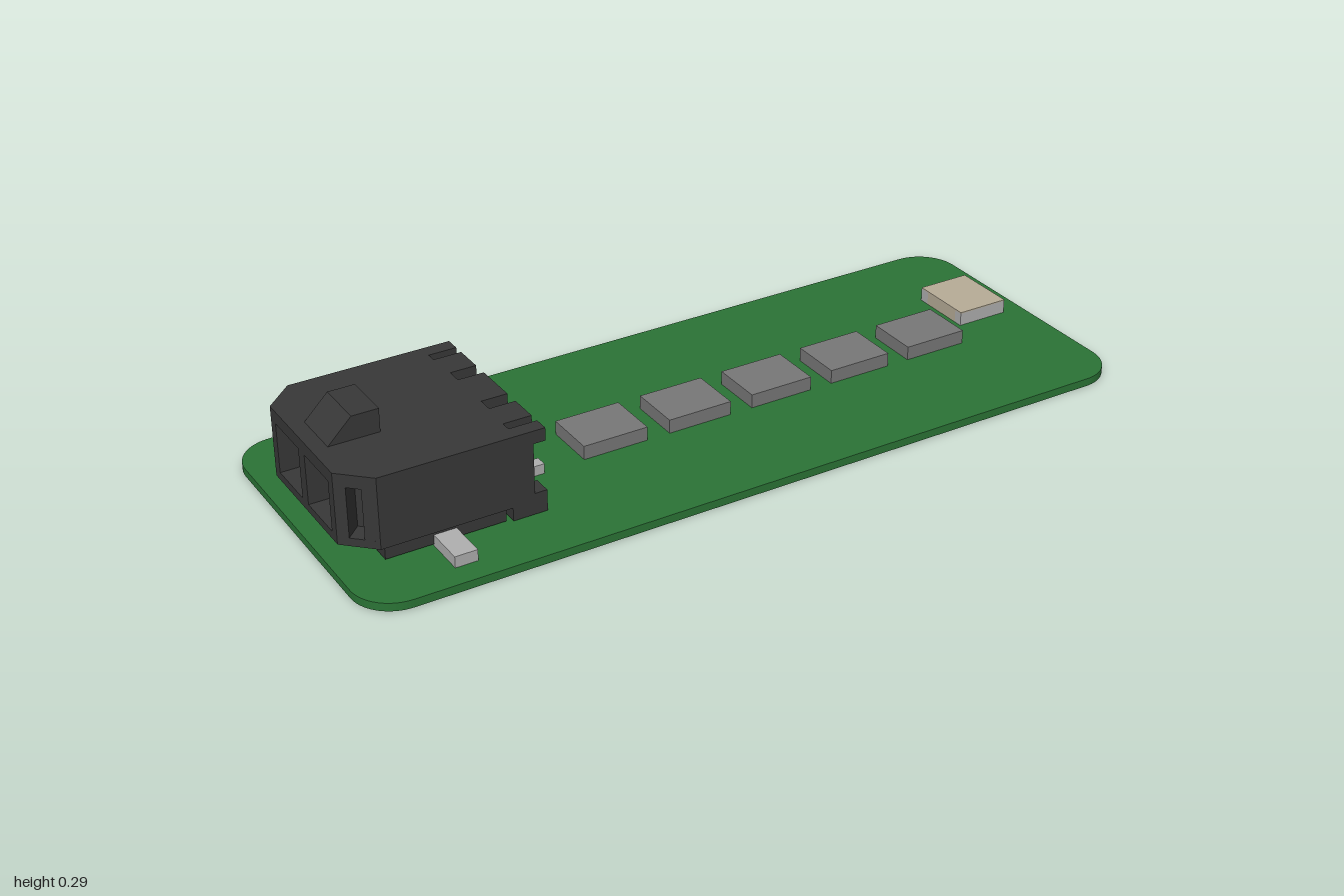
import * as THREE from 'three';

const mat = (color) => new THREE.MeshStandardMaterial({ color, flatShading: true });
const green = mat(0x2b7436), black = mat(0x383838), grey = mat(0x787878);
const metal = mat(0xb0b0b0), beige = mat(0xb8ad98);

function add(parent, name, geometry, material) {
  const mesh = new THREE.Mesh(geometry, material);
  mesh.name = name;
  parent.add(mesh);
  return mesh;
}

// Box from its minimum and maximum corners
function block(parent, name, x0, x1, y0, y1, z0, z1, material) {
  const mesh = add(parent, name, new THREE.BoxGeometry(x1 - x0, y1 - y0, Math.abs(z1 - z0)), material);
  mesh.position.set((x0 + x1) / 2, (y0 + y1) / 2, (z0 + z1) / 2);
  return mesh;
}

const shapeOf = (points) => new THREE.Shape(points.map(([x, y]) => new THREE.Vector2(x, y)));
const extrude = (shape, depth) =>
  new THREE.ExtrudeGeometry(shape, { depth, bevelEnabled: false, curveSegments: 10 });

// Plan shape raised from y0 to y1
const slab = (shape, y0, y1) => extrude(shape, y1 - y0).rotateX(-Math.PI / 2).translate(0, y0, 0);

// Side profile (x, y) extruded across z
const across = (points, z0, z1) => extrude(shapeOf(points), z1 - z0).translate(0, 0, z0);

// Plan outline mirrored about z = 0 from one half
const mirrored = (half) => shapeOf([...half, ...half.map(([x, z]) => [x, -z]).reverse()]);

// Toothed rear edge of the housing, reaching out to x = end
const teeth = (end) => [
  [-0.9, 0.232], [end, 0.232], [end, 0.195], [-0.57, 0.195], [-0.57, 0.17],
  [end, 0.17], [end, 0.095], [-0.565, 0.095], [-0.565, 0.057], [end, 0.057],
];

function makeBoard() {
  const s = new THREE.Shape(), w = 1, d = 0.385, r = 0.1;
  s.moveTo(-w + r, -d);
  s.lineTo(w - r, -d);
  s.absarc(w - r, -d + r, r, -Math.PI / 2, 0);
  s.absarc(w - r, d - r, r, 0, Math.PI / 2);
  s.absarc(-w + r, d - r, r, Math.PI / 2, Math.PI);
  s.absarc(-w + r, -d + r, r, Math.PI, Math.PI * 1.5);
  return slab(s, 0, 0.02);
}

function makeConnector() {
  const g = new THREE.Group();
  g.name = 'connector';

  // Housing: floor and roof, with a middle layer cut by two sockets
  const plate = mirrored([[-0.97, 0.165], ...teeth(-0.5)]);
  const middle = mirrored([
    [-0.62, 0.015], [-0.62, 0.14], [-0.97, 0.14], [-0.97, 0.165],
    [-0.95, 0.184], [-0.915, 0.15], [-0.89, 0.175], [-0.925, 0.208],
    ...teeth(-0.53),
  ]);
  add(g, 'housingFloor', slab(plate, 0.055, 0.075), black);
  add(g, 'housingWalls', slab(middle, 0.075, 0.2), black);
  add(g, 'housingRoof', slab(plate, 0.2, 0.232), black);
  block(g, 'socketDivider', -0.97, -0.61, 0.075, 0.2, -0.016, 0.016, black);
  block(g, 'rearRib', -0.54, -0.515, 0.075, 0.2, -0.02, 0.02, black);

  // Locking ramp on the roof
  add(g, 'latch', across([[-0.935, 0.23], [-0.81, 0.23], [-0.81, 0.29], [-0.875, 0.29]], -0.062, 0.062), black);

  for (const s of [1, -1]) {
    // Feet and side rails
    block(g, 'foot', -0.585, -0.5, 0.022, 0.075, s * 0.185, s * 0.232, black);
    block(g, 'sideRail', -0.89, -0.6, 0.025, 0.06, s * 0.185, s * 0.228, black);

    // Solder tab with a rounded inner bend, and its upright plate
    const t = new THREE.Shape();
    t.moveTo(0.328, 0.02);
    t.lineTo(0.328, 0.048);
    t.lineTo(0.185, 0.048);
    t.lineTo(0.185, 0.07);
    t.lineTo(0.162, 0.07);
    t.lineTo(0.162, 0.045);
    t.quadraticCurveTo(0.164, 0.02, 0.19, 0.02);
    const tab = add(g, 'solderTab', extrude(t, 0.055), metal);
    tab.rotation.y = -s * Math.PI / 2;
    tab.position.x = -0.7475 + s * 0.0275;
    block(g, 'tabPlate', -0.6, -0.56, 0.15, 0.2, s * 0.17, s * 0.187, metal);

    // Rear contact with a wavy upright and a flat solder foot
    const pin = [
      [-0.43, 0.02], [-0.43, 0.045], [-0.515, 0.045], [-0.515, 0.08], [-0.505, 0.095],
      [-0.505, 0.115], [-0.515, 0.125], [-0.505, 0.14], [-0.505, 0.165],
      [-0.52, 0.195], [-0.562, 0.195], [-0.562, 0.06], [-0.545, 0.02],
    ];
    add(g, 'contactPin', across(pin, s * 0.073 - 0.015, s * 0.073 + 0.015), metal);

    // Terminal inside each socket
    block(g, 'socketTerminal', -0.85, -0.6, 0.12, 0.145, s * 0.065, s * 0.09, metal);
  }
  g.position.z = -0.003;
  return g;
}

export function createModel() {
  const model = new THREE.Group();
  model.name = 'circuitBoard';
  add(model, 'board', makeBoard(), green);
  model.add(makeConnector());

  // Row of surface mounted chips
  for (let i = 0; i < 5; i++) {
    const x = -0.241 + i * 0.2275;
    block(model, 'chip', x - 0.084, x + 0.084, 0.02, 0.055, -0.055, 0.08, grey);
  }

  // Pale chip with metal end caps under a thin top
  const cap = new THREE.Group();
  cap.name = 'paleChip';
  block(cap, 'chipCore', 0.806, 0.944, 0.02, 0.053, -0.135, -0.02, beige);
  block(cap, 'endCap', 0.806, 0.944, 0.02, 0.053, -0.162, -0.135, metal);
  block(cap, 'endCap', 0.806, 0.944, 0.02, 0.053, -0.02, 0.003, metal);
  block(cap, 'chipTop', 0.806, 0.944, 0.053, 0.056, -0.162, 0.003, beige);
  model.add(cap);
  return model;
}
